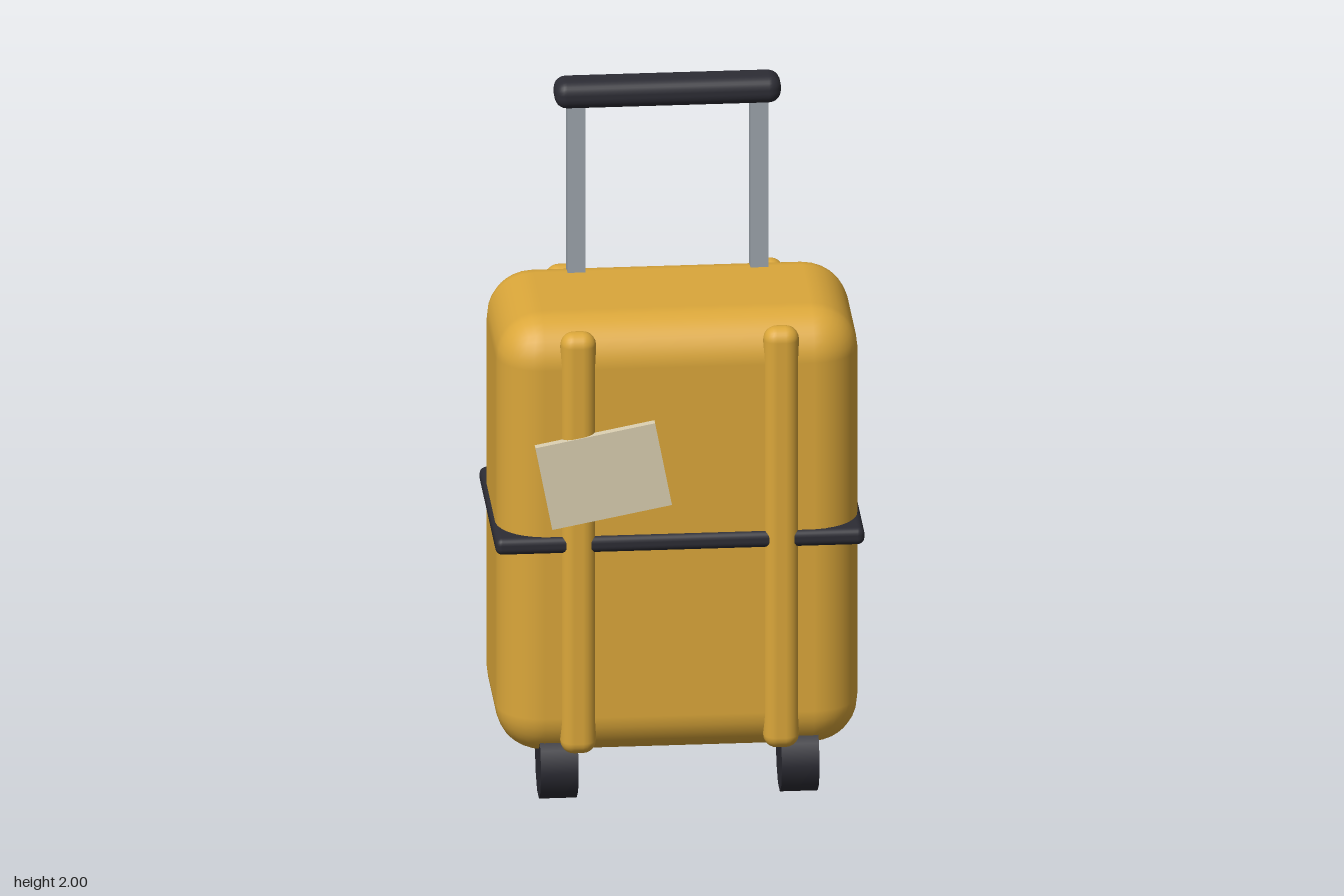
import * as THREE from 'three';
import { RoundedBoxGeometry } from 'three/addons/geometries/RoundedBoxGeometry.js';

const material = (name, color) => {
  const m = new THREE.MeshStandardMaterial({ color });
  m.name = name;
  return m;
};

export function createModel() {
  const shell = material('mustard shell', 0xdba73a);
  const dark = material('dark rubber', 0x2c2c34);
  const metal = material('grey metal', 0x9ca4ac);
  const paper = material('cream paper', 0xd9ceb0);

  const suitcase = new THREE.Group();
  suitcase.name = 'suitcase';
  const midZ = -0.004; // centre of the shell in depth

  const add = (name, geometry, mat, x, y, z) => {
    const mesh = new THREE.Mesh(geometry, mat);
    mesh.name = name;
    mesh.position.set(x, y, z);
    suitcase.add(mesh);
    return mesh;
  };

  // Shell and the strap around it
  add('body', new RoundedBoxGeometry(1.01, 1.3, 0.55, 4, 0.13), shell, 0, 0.78, midZ);
  add('strap', new RoundedBoxGeometry(1.03, 0.05, 0.577, 3, 0.02), dark, 0, 0.78, midZ);

  const rib = new RoundedBoxGeometry(0.1, 1.255, 0.076, 3, 0.038);
  const pole = new THREE.BoxGeometry(0.05, 0.6, 0.055);
  const wheel = new THREE.CylinderGeometry(0.105, 0.105, 0.105, 10).rotateZ(Math.PI / 2);

  for (const [side, s] of [['left', 1], ['right', -1]]) {
    // Raised ribs, front and back
    add(side + 'FrontRib', rib, shell, s * 0.283, 0.78, midZ + 0.258);
    add(side + 'BackRib', rib, shell, s * 0.283, 0.78, midZ - 0.258);
    // Telescopic poles
    add(side + 'Pole', pole, metal, s * 0.255, 1.65, -0.167);
    // Wheels
    add(side + 'Wheel', wheel, dark, s * 0.336, 0.1, 0.177);
  }

  // Grip across the poles
  add('grip', new RoundedBoxGeometry(0.632, 0.08, 0.104, 3, 0.035), dark, 0, 1.96, -0.167);

  // Tilted paper label
  const label = add('label', new THREE.BoxGeometry(0.34, 0.25, 0.024), paper, -0.215, 0.99, 0.284);
  label.rotation.z = 0.19;

  return suitcase;
}
